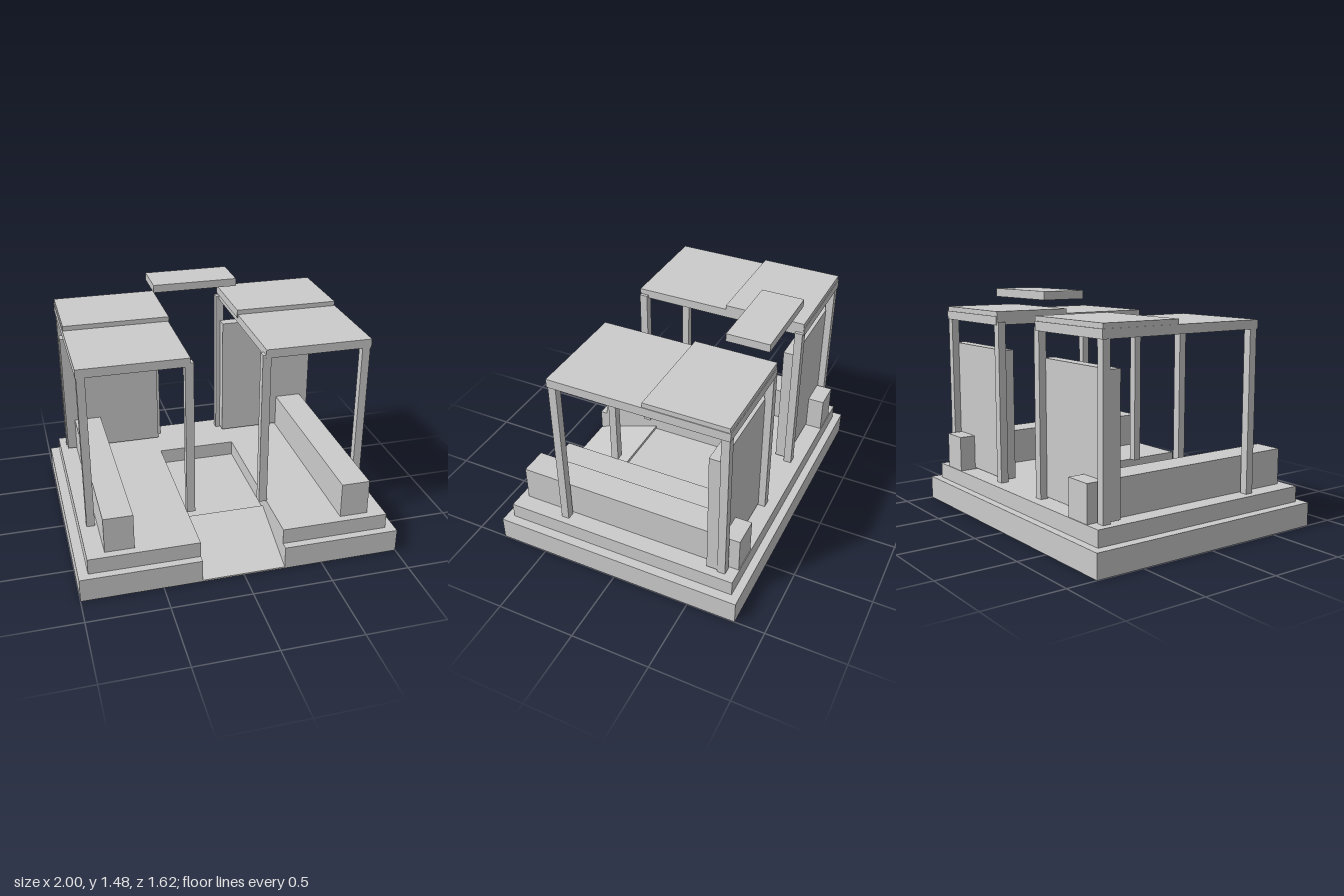
import * as THREE from 'three';

const material = new THREE.MeshStandardMaterial({ color: 0xcccccc, flatShading: true });

function add(group, name, geometry) {
  const mesh = new THREE.Mesh(geometry, material);
  mesh.name = name;
  group.add(mesh);
  return mesh;
}

// Box given by its extents along each axis
function block(group, name, [x0, x1], [y0, y1], [z0, z1]) {
  add(group, name, new THREE.BoxGeometry(x1 - x0, y1 - y0, z1 - z0))
    .position.set((x0 + x1) / 2, (y0 + y1) / 2, (z0 + z1) / 2);
}

// Slab with a central slot cut in from the front edge back to slotZ
function slottedSlab(group, name, halfX, halfZ, [y0, y1], slotX, slotZ) {
  const outline = [
    [-halfX, halfZ], [-slotX, halfZ], [-slotX, slotZ], [slotX, slotZ],
    [slotX, halfZ], [halfX, halfZ], [halfX, -halfZ], [-halfX, -halfZ],
  ];
  const shape = new THREE.Shape(outline.map(([x, z]) => new THREE.Vector2(x, -z)));
  const geometry = new THREE.ExtrudeGeometry(shape, { depth: y1 - y0, bevelEnabled: false });
  geometry.rotateX(-Math.PI / 2).translate(0, y0, 0);
  add(group, name, geometry);
}

export function createModel() {
  const model = new THREE.Group();
  model.name = 'twinShelter';
  const slot = 0.26;

  // Stepped platform with a sunken walkway
  slottedSlab(model, 'lowerPlatform', 1, 0.81, [0, 0.15], slot, 0.35);
  slottedSlab(model, 'upperPlatform', 0.94, 0.76, [0.15, 0.25], slot, -0.39);

  // Entrance ramp: side profile in z and y, swept across the slot
  const profile = [[0.81, 0], [0.81, 0.01], [0.35, 0.17], [0.35, 0]];
  const ramp = new THREE.ExtrudeGeometry(
    new THREE.Shape(profile.map(([z, y]) => new THREE.Vector2(z, y))),
    { depth: slot * 2, bevelEnabled: false });
  ramp.rotateY(-Math.PI / 2).translate(slot, 0, 0);
  add(model, 'ramp', ramp);

  // Mirrored shelters
  for (const side of [1, -1]) {
    const shelter = new THREE.Group();
    shelter.name = side > 0 ? 'leftShelter' : 'rightShelter';
    const span = (a, b) => (side > 0 ? [a, b] : [-b, -a]);

    for (const [zName, z] of [['front', [0.37, 0.42]], ['rear', [-0.695, -0.645]]]) {
      block(shelter, zName + 'InnerPost', span(0.21, 0.263), [0.25, 1.27], z);
      block(shelter, zName + 'OuterPost', span(0.845, 0.895), [0.25, 1.27], z);
    }
    block(shelter, 'backPanel', span(0.24, 0.89), [0.26, 1.09], [-0.65, -0.575]);
    block(shelter, 'roof', span(0.23, 0.9), [1.25, 1.305], [-0.7, 0.425]);
    block(shelter, 'raisedRoof', span(0.226, 0.896), [1.282, 1.335], [-0.695, -0.18]);
    block(shelter, 'bench', span(0.65, 0.83), [0.25, 0.478], [-0.755, 0.71]);
    model.add(shelter);
  }

  // Floating canopy slab over the gap
  block(model, 'canopy', [-0.277, 0.277], [1.425, 1.475], [-0.665, -0.395]);
  return model;
}
